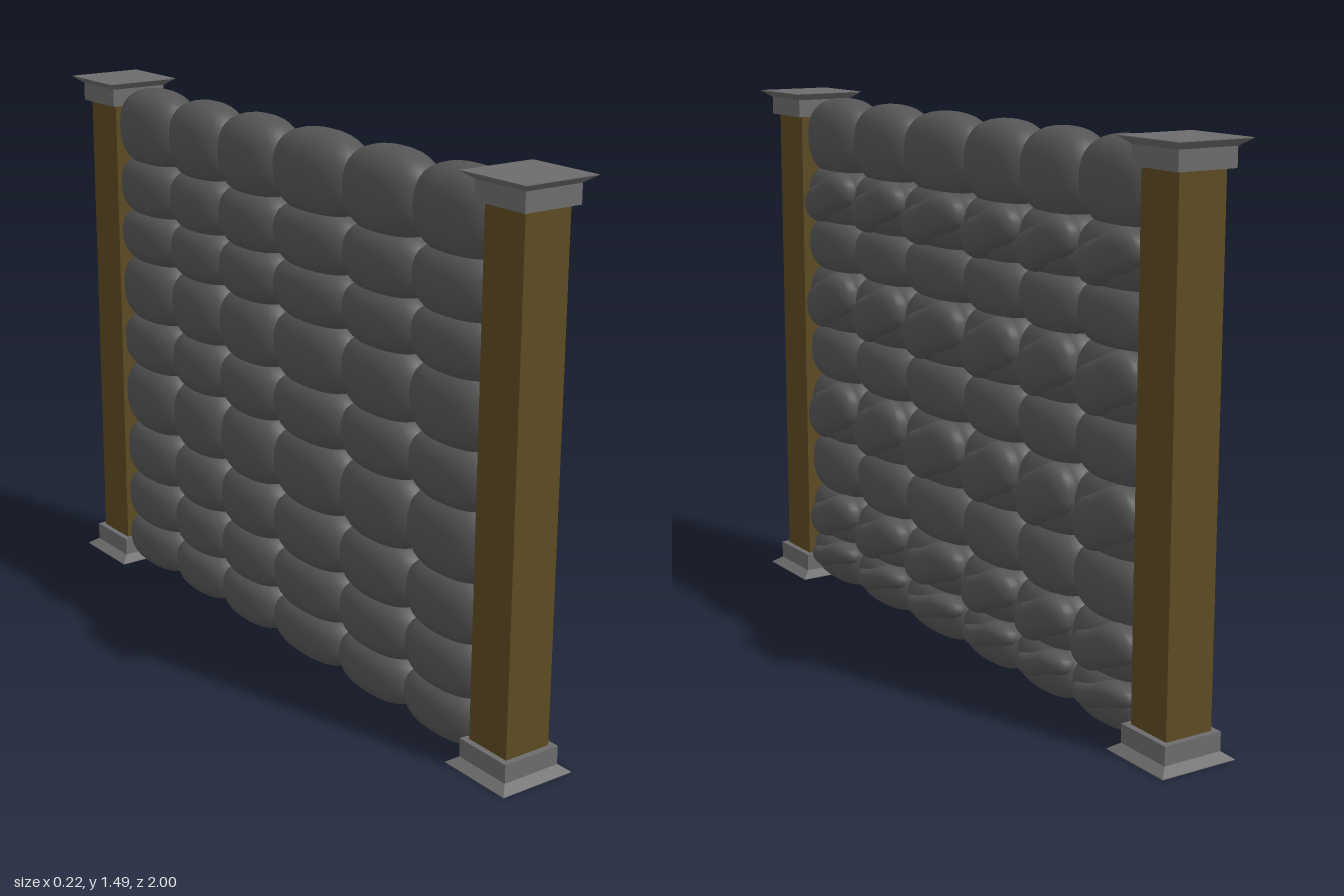
import * as THREE from 'three';

const stoneMat = new THREE.MeshStandardMaterial({ color: 0x555555 });
const capMat = new THREE.MeshStandardMaterial({ color: 0x6c6c6c, flatShading: true });
const woodMat = new THREE.MeshStandardMaterial({ color: 0x5c4a22 });

// Seams between the stone columns (z) and rows (y)
const COLUMNS = [0.82, 0.545, 0.265, -0.04, -0.3, -0.55, -0.82];
const ROWS = [1.48, 1.27, 1.12, 0.98, 0.8, 0.65, 0.46, 0.3, 0.155, 0.01];

// Puffy stone: a squared-off sphere, optionally bent into an S along z
function stone(name, [x, y, z], [rx, ry, rz], power, bend = 0) {
  const geo = new THREE.SphereGeometry(1, 28, 18);
  const p = geo.attributes.position;
  const puff = (v) => Math.sign(v) * Math.pow(Math.abs(v), power);
  for (let i = 0; i < p.count; i++) {
    const u = puff(p.getZ(i));
    p.setXYZ(i, puff(p.getX(i)) * rx, puff(p.getY(i)) * ry - bend * Math.tanh(u * 2.5), u * rz);
  }
  geo.computeVertexNormals();
  const mesh = new THREE.Mesh(geo, stoneMat);
  mesh.name = name;
  mesh.position.set(x, y, z);
  return mesh;
}

// Square cap: a block that flares into a thin plate at its outer end
function cap(name) {
  const k = Math.SQRT2;
  const profile = [[0, 0], [0.085, 0], [0.085, 0.05], [0.11, 0.068], [0.11, 0.07], [0, 0.07]]
    .map(([r, y]) => new THREE.Vector2(r * k, y));
  const geo = new THREE.LatheGeometry(profile, 4);
  geo.rotateY(Math.PI / 4);
  const mesh = new THREE.Mesh(geo, capMat);
  mesh.name = name;
  return mesh;
}

function post(name, z) {
  const group = new THREE.Group();
  group.name = name;
  const shaft = new THREE.Mesh(new THREE.BoxGeometry(0.137, 1.37, 0.137), woodMat);
  shaft.name = 'postShaft';
  shaft.position.y = 0.745;
  const top = cap('postCap');
  top.position.y = 1.42;
  const foot = cap('postFoot');
  foot.rotation.x = Math.PI;
  foot.position.y = 0.07;
  group.add(shaft, top, foot);
  group.position.z = z;
  return group;
}

export function createModel() {
  const model = new THREE.Group();
  model.name = 'stoneFence';
  model.add(post('frontPost', 0.89), post('backPost', -0.89));

  const wall = new THREE.Group();
  wall.name = 'stoneWall';
  for (let c = 0; c < COLUMNS.length - 1; c++) {
    const z = (COLUMNS[c] + COLUMNS[c + 1]) / 2;
    const w = COLUMNS[c] - COLUMNS[c + 1];
    for (let r = 0; r < ROWS.length - 1; r++) {
      const last = r === ROWS.length - 2;
      const h = ROWS[r] - ROWS[r + 1];
      // Outer rows keep their free edge and only overlap inwards
      const top = ROWS[r] + (r === 0 ? 0 : 0.02);
      const bottom = ROWS[r + 1] - (last ? 0 : 0.02);
      const y = (top + bottom) / 2;
      wall.add(stone('wallStone', [-0.004, y, z], [0.085, (top - bottom) / 2, w * 0.575], 0.82));

      // Twisted stones standing proud of the +x face
      if (r % 2 === 1) {
        wall.add(stone('raisedStone', [0.055, y, z - 0.012], [0.048, h * 0.41, w * 0.47], 0.85, 0.025));
      } else if (last) {
        wall.add(stone('raisedStone', [0.055, 0.105, z - 0.012], [0.045, 0.036, w * 0.45], 0.85, 0.02));
      }
    }
  }
  model.add(wall);
  return model;
}
